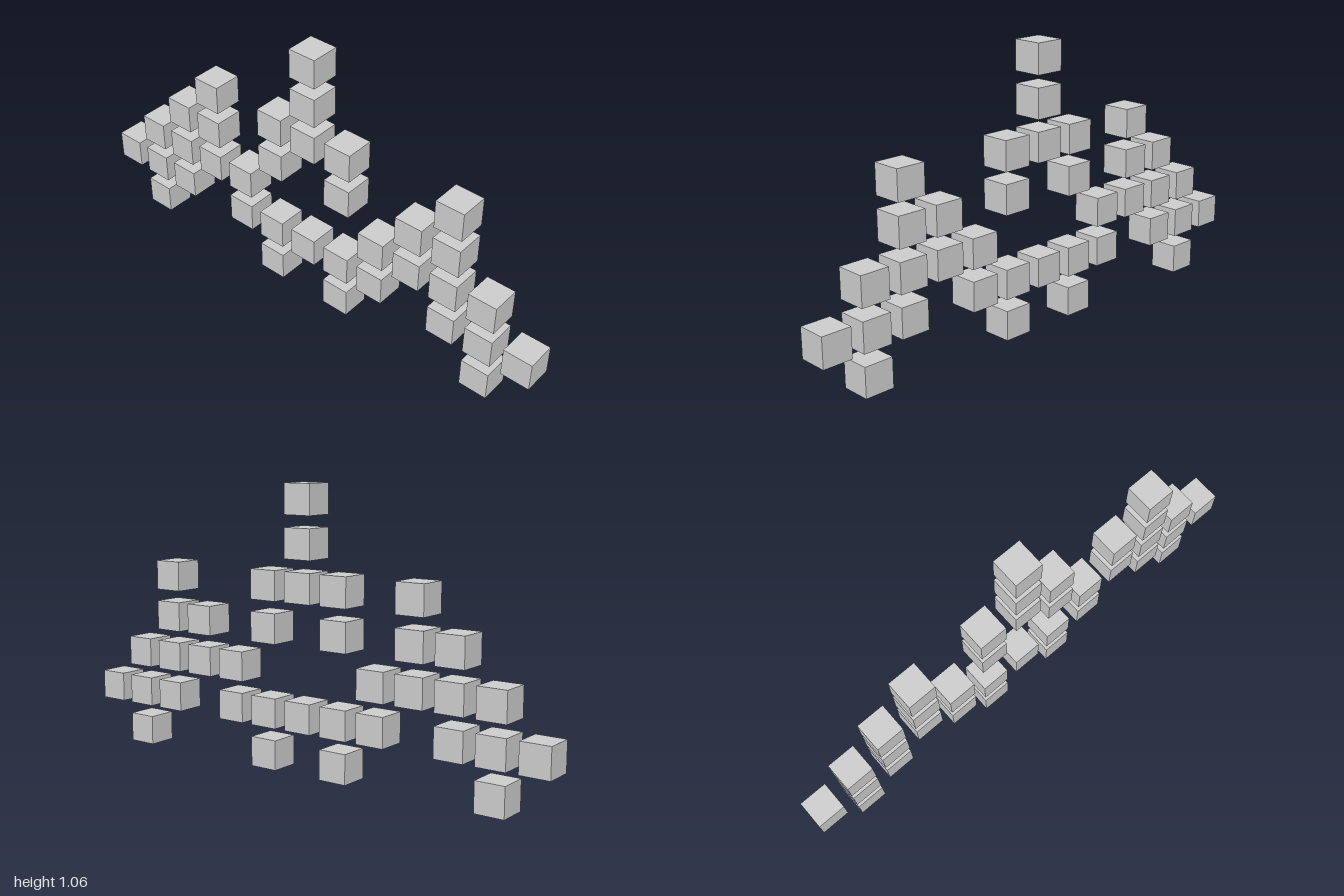
import * as THREE from 'three';

const PITCH = 0.1573; // distance between cube centres
const SIZE = 0.1125;  // cube edge

// Cube layout seen from the front, top row first
const ROWS = [
  '......#......',
  '......#......',
  '...#.###..#..',
  '..##.#.#.##..',
  '.####...####.',
  '###.#####.###',
  '.#...#.#...#.',
];

export function createModel() {
  const model = new THREE.Group();
  model.name = 'pixelFigure';
  const material = new THREE.MeshStandardMaterial({ color: 0xcccccc, flatShading: true });
  const cube = new THREE.BoxGeometry(SIZE, SIZE, SIZE);

  // One group per row, one separate cube per filled cell
  ROWS.forEach((cells, i) => {
    const level = ROWS.length - 1 - i;
    const row = new THREE.Group();
    row.name = `cubeRow${level}`;
    row.position.y = SIZE / 2 + level * PITCH;
    [...cells].forEach((cell, column) => {
      if (cell !== '#') return;
      const mesh = new THREE.Mesh(cube, material);
      mesh.name = `cube${level}_${column}`;
      mesh.position.x = (column - (cells.length - 1) / 2) * PITCH;
      row.add(mesh);
    });
    model.add(row);
  });
  return model;
}
